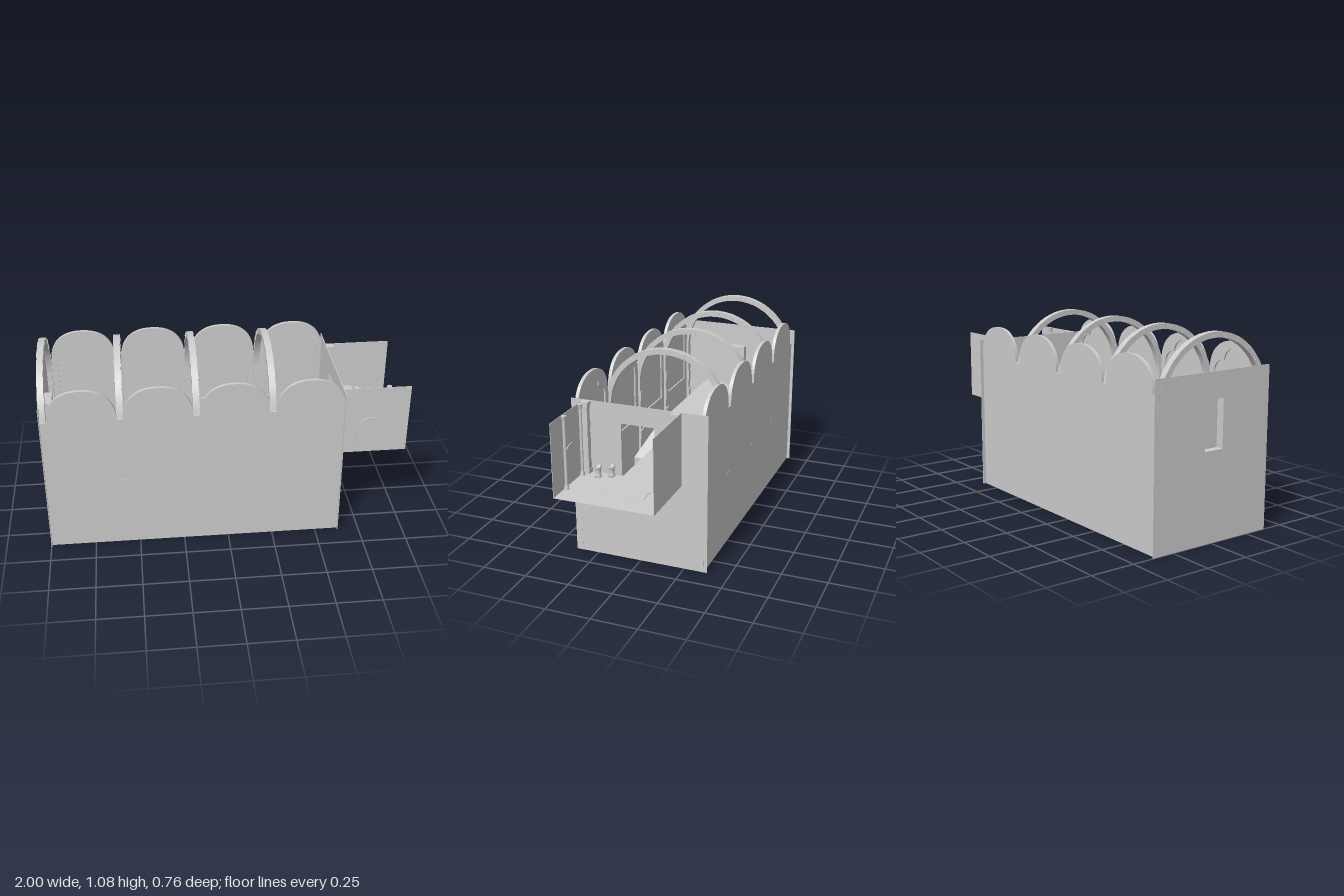
import * as THREE from 'three';

const mat = new THREE.MeshStandardMaterial({ color: 0xcccccc, side: THREE.DoubleSide });
const FLOOR = 0.485, TOP = 0.885;

function add(parent, name, geo, x = 0, y = 0, z = 0) {
  const m = new THREE.Mesh(geo, mat);
  m.name = name;
  m.position.set(x, y, z);
  parent.add(m);
  return m;
}
// box given by its limits on each axis
function box(parent, name, x0, x1, y0, y1, z0, z1) {
  return add(parent, name, new THREE.BoxGeometry(x1 - x0, y1 - y0, z1 - z0),
    (x0 + x1) / 2, (y0 + y1) / 2, (z0 + z1) / 2);
}
const extrude = (shape, depth) =>
  new THREE.ExtrudeGeometry(shape, { depth, bevelEnabled: false, curveSegments: 14 });
function rect(x0, x1, y0, y1, Type = THREE.Shape) {
  const s = new Type();
  s.moveTo(x0, y0); s.lineTo(x1, y0); s.lineTo(x1, y1); s.lineTo(x0, y1); s.closePath();
  return s;
}

const BAYS = [-0.778, -0.373, 0.035, 0.445];
const ARCHES = [-0.983, -0.575, -0.17, 0.24];

// side wall outline with a row of rounded bay tops
function sideWallShape() {
  const s = new THREE.Shape(), n = 2.3, half = 0.185;
  s.moveTo(-1, 0);
  s.lineTo(-1, 0.8);
  for (const c of BAYS) {
    for (let i = 0; i <= 28; i++) {
      const a = Math.PI * (1 - i / 28), co = Math.cos(a), si = Math.max(0, Math.sin(a));
      s.lineTo(c + half * Math.sign(co) * Math.abs(co) ** (2 / n), 0.8 + 0.18 * si ** (2 / n));
    }
  }
  s.lineTo(0.632, 0);
  s.closePath();
  return s;
}
// three-lobed blind opening
function trefoil(c) {
  const p = new THREE.Path();
  p.moveTo(c - 0.15, 0.5);
  p.lineTo(c - 0.15, 0.8);
  p.absarc(c - 0.08, 0.8, 0.07, Math.PI, 1.5, true);
  p.absarc(c, 0.865, 0.075, 3.077, 0.0645, true);
  p.absarc(c + 0.08, 0.8, 0.07, Math.PI - 1.5, 0, true);
  p.lineTo(c + 0.15, 0.5);
  p.closePath();
  return p;
}
function sideWall(parent, side) {
  const lining = sideWallShape();
  BAYS.forEach(c => lining.holes.push(trefoil(c)));
  add(parent, 'sideWall', extrude(sideWallShape(), 0.01), 0, 0, side > 0 ? 0.352 : -0.362);
  add(parent, 'trefoilLining', extrude(lining, 0.009), 0, 0, side > 0 ? 0.343 : -0.352);
}

// pilaster of stacked stones against a side wall
function pilaster(parent, x, side) {
  const g = new THREE.Group();
  g.name = 'pilaster';
  const n = 12, h = 0.72 / n;
  for (let i = 0; i < n; i++) {
    const inner = 0.326 + (i % 2) * 0.003, w = 0.0165 + (i % 2) * 0.001;
    const z = [side * inner, side * 0.361].sort((a, b) => a - b);
    box(g, 'stone', x - w, x + w, i * h, (i + 1) * h, ...z);
  }
  const z = [side * 0.32, side * 0.364].sort((a, b) => a - b);
  box(g, 'band', x - 0.017, x + 0.017, 0.413, 0.421, ...z);
  parent.add(g);
}
// round arch of wedge stones crossing the hall
function arch(parent, x) {
  const g = new THREE.Group(), n = 25;
  g.name = 'arch';
  for (let i = 0; i < n; i++) {
    const a = Math.PI * i / n, b = Math.PI * (i + 1) / n, d = i % 2 ? 0.034 : 0.037;
    const s = new THREE.Shape();
    s.absarc(0, 0, 0.36, a, b, false);
    s.absarc(0, 0, 0.33, b, a, true);
    s.closePath();
    const geo = new THREE.ExtrudeGeometry(s, { depth: d, bevelEnabled: false, curveSegments: 3 });
    geo.translate(0, 0, -d / 2).rotateY(Math.PI / 2);
    add(g, 'wedgeStone', geo, x, 0.72, 0);
  }
  parent.add(g);
}

// end wall with a rectangular opening, lying across x
function endWall(parent, name, x, z0, z1, top) {
  const s = rect(-0.38, 0.38, 0, TOP);
  s.holes.push(rect(-z1, -z0, FLOOR, top, THREE.Path));
  add(parent, name, extrude(s, 0.004).rotateY(Math.PI / 2), x, 0, 0);
}

// hollow platform: straight skirt, then sloping in to a flat deck
function platformGeometry() {
  const rings = [[0, -0.05, 0.33], [0.28, -0.05, 0.33], [FLOOR, -0.15, 0.21]].map(([y, x1, z]) =>
    [[-0.998, y, z], [x1, y, z], [x1, y, -z], [-0.998, y, -z]]);
  const pos = [];
  const quad = (a, b, c, d) => pos.push(...a, ...b, ...c, ...a, ...c, ...d);
  for (let r = 0; r < 2; r++)
    for (let i = 0; i < 4; i++) {
      const j = (i + 1) % 4;
      quad(rings[r][i], rings[r][j], rings[r + 1][j], rings[r + 1][i]);
    }
  quad(...rings[2]);
  const geo = new THREE.BufferGeometry();
  geo.setAttribute('position', new THREE.Float32BufferAttribute(pos, 3));
  geo.computeVertexNormals();
  return geo;
}

// square stone pier with base and capital in the side room
function pier(parent, x, z) {
  const g = new THREE.Group();
  g.name = 'pier';
  const ring = (r, y0, y1) => box(g, 'pierStone', x - r, x + r, y0, y1, z - r, z + r);
  ring(0.021, FLOOR, 0.51);
  for (let i = 0; i < 6; i++) ring(i % 2 ? 0.0155 : 0.017, 0.51 + i * 0.057, 0.567 + i * 0.057);
  ring(0.018, 0.852, 0.866);
  ring(0.021, 0.866, TOP);
  parent.add(g);
}

export function createModel() {
  const model = new THREE.Group();
  model.name = 'archedHall';

  // hall
  const hall = new THREE.Group();
  hall.name = 'hall';
  model.add(hall);
  for (const side of [1, -1]) {
    sideWall(hall, side);
    ARCHES.forEach(x => pilaster(hall, x, side));
  }
  ARCHES.forEach(x => arch(hall, x));
  endWall(hall, 'farEndWall', -1, -0.055, 0.065, 0.745);
  endWall(hall, 'roomEndWall', 0.627, -0.088, 0.098, 0.78);

  // door recess pushed into the hall from the far end wall
  const door = new THREE.Group();
  door.name = 'doorRecess';
  hall.add(door);
  box(door, 'doorPanel', -0.956, -0.952, FLOOR, 0.745, -0.055, 0.065);
  box(door, 'doorJamb', -1, -0.952, FLOOR, 0.745, 0.065, 0.069);
  box(door, 'doorJamb', -1, -0.952, FLOOR, 0.745, -0.059, -0.055);
  box(door, 'doorLintel', -1, -0.952, 0.745, 0.749, -0.059, 0.069);

  // platform and bridge
  add(hall, 'platform', platformGeometry());
  box(hall, 'bridge', -0.155, 0.63, 0.478, FLOOR + 0.001, -0.088, 0.092);

  // side room
  const room = new THREE.Group();
  room.name = 'sideRoom';
  model.add(room);
  box(room, 'roomFloor', 0.63, 1, 0.483, FLOOR, -0.235, 0.31);
  box(room, 'roomBackWall', 0.63, 1, 0.483, TOP, -0.237, -0.234);
  box(room, 'roomFrontWall', 0.63, 1, 0.483, TOP, 0.307, 0.31);
  box(room, 'floorPanel', 0.74, 0.88, 0.482, 0.4865, -0.12, 0.14);
  pier(room, 0.652, -0.214);
  pier(room, 0.652, 0.288);

  // arched window plate with a colonnette on each side
  const win = new THREE.Shape();
  win.moveTo(0.716, 0.55);
  win.lineTo(0.874, 0.55);
  win.lineTo(0.874, 0.626);
  win.absarc(0.795, 0.626, 0.079, 0, Math.PI, false);
  win.closePath();
  add(room, 'archedWindow', extrude(win, 0.014), 0, 0, 0.303);
  for (const x of [0.698, 0.88]) {
    add(room, 'colonnette', new THREE.CylinderGeometry(0.008, 0.008, 0.4, 12), x, 0.685, 0.295);
    add(room, 'colonnetteBase', new THREE.CylinderGeometry(0.01, 0.014, 0.025, 12), x, 0.4975, 0.295);
    add(room, 'colonnetteCap', new THREE.CylinderGeometry(0.014, 0.009, 0.025, 12), x, 0.8725, 0.295);
  }

  // urns
  const profile = [[0, 0], [0.019, 0], [0.019, 0.008], [0.014, 0.014], [0.014, 0.035],
    [0.017, 0.046], [0.02, 0.05], [0.02, 0.06], [0.015, 0.06], [0.012, 0.048], [0, 0.048]];
  const urn = new THREE.LatheGeometry(profile.map(p => new THREE.Vector2(...p)), 16);
  for (const [x, z] of [[0.78, -0.213], [0.65, -0.145], [0.652, 0.148], [0.68, 0.212]])
    add(room, 'urn', urn, x, FLOOR, z);

  return model;
}
